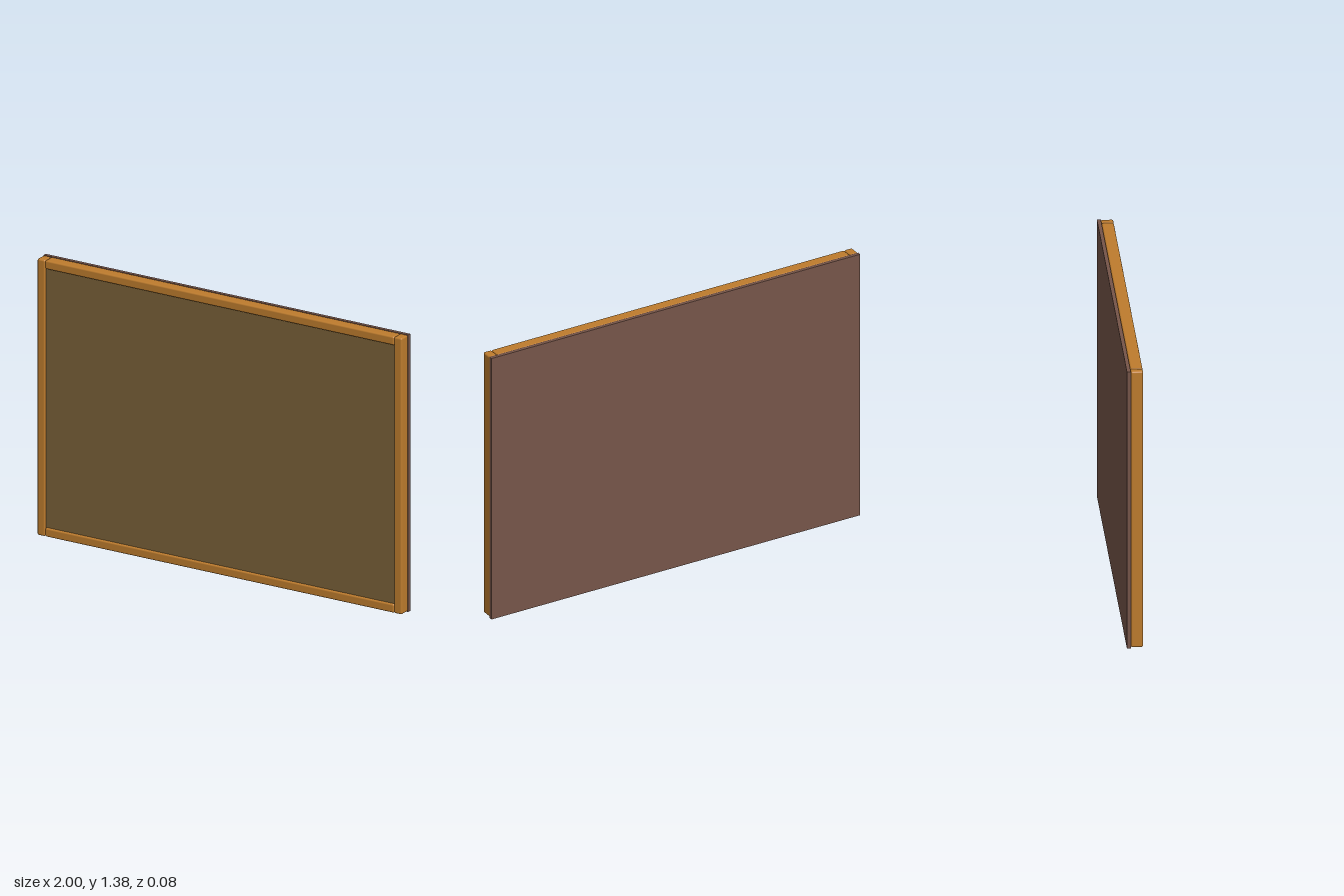
import * as THREE from 'three';
import { RoundedBoxGeometry } from 'three/addons/geometries/RoundedBoxGeometry.js';

const WIDTH = 2, HEIGHT = 1.377;
const BAR = 0.043;                    // visible width of a frame bar
const FRONT = 0.038, BACK = -0.038;   // overall depth range
const SEAM = -0.02;                   // where the frame meets the backing
const BASE = 0.004;                   // frame starts just above the ground

const material = (name, color) => {
  const m = new THREE.MeshStandardMaterial({ color });
  m.name = name;
  return m;
};

export function createModel() {
  const group = new THREE.Group();
  group.name = 'framedBoard';

  const wood = material('honeyWood', 0xbe7c2d);
  const board = material('boardOlive', 0x796138);
  const backing = material('backingBrown', 0x765549);

  const add = (name, geometry, mat, x, y, z) => {
    const mesh = new THREE.Mesh(geometry, mat);
    mesh.name = name;
    mesh.position.set(x, y, z);
    group.add(mesh);
  };

  // Frame bars with softly rounded edges
  const depth = FRONT - SEAM, zBar = (FRONT + SEAM) / 2;
  const barHeight = HEIGHT - BASE, yMid = BASE + barHeight / 2;
  const innerWidth = WIDTH - 2 * BAR;
  const upright = new RoundedBoxGeometry(BAR, barHeight, depth, 4, 0.008);
  const rail = new RoundedBoxGeometry(innerWidth, BAR, depth, 4, 0.008);
  for (const side of [-1, 1]) {
    add(side > 0 ? 'leftUpright' : 'rightUpright', upright, wood, side * (WIDTH - BAR) / 2, yMid, zBar);
    add(side > 0 ? 'topRail' : 'bottomRail', rail, wood, 0, yMid + side * (barHeight - BAR) / 2, zBar);
  }

  // Slightly recessed board surface, tucked a little under the frame
  const boardFront = 0.027;
  add('boardSurface',
    new THREE.BoxGeometry(innerWidth + 0.02, barHeight - 2 * BAR + 0.02, boardFront - SEAM),
    board, 0, yMid, (boardFront + SEAM) / 2);

  // Full-size backing panel
  add('backingPanel', new THREE.BoxGeometry(WIDTH, HEIGHT, SEAM - BACK),
    backing, 0, HEIGHT / 2, (SEAM + BACK) / 2);

  return group;
}
